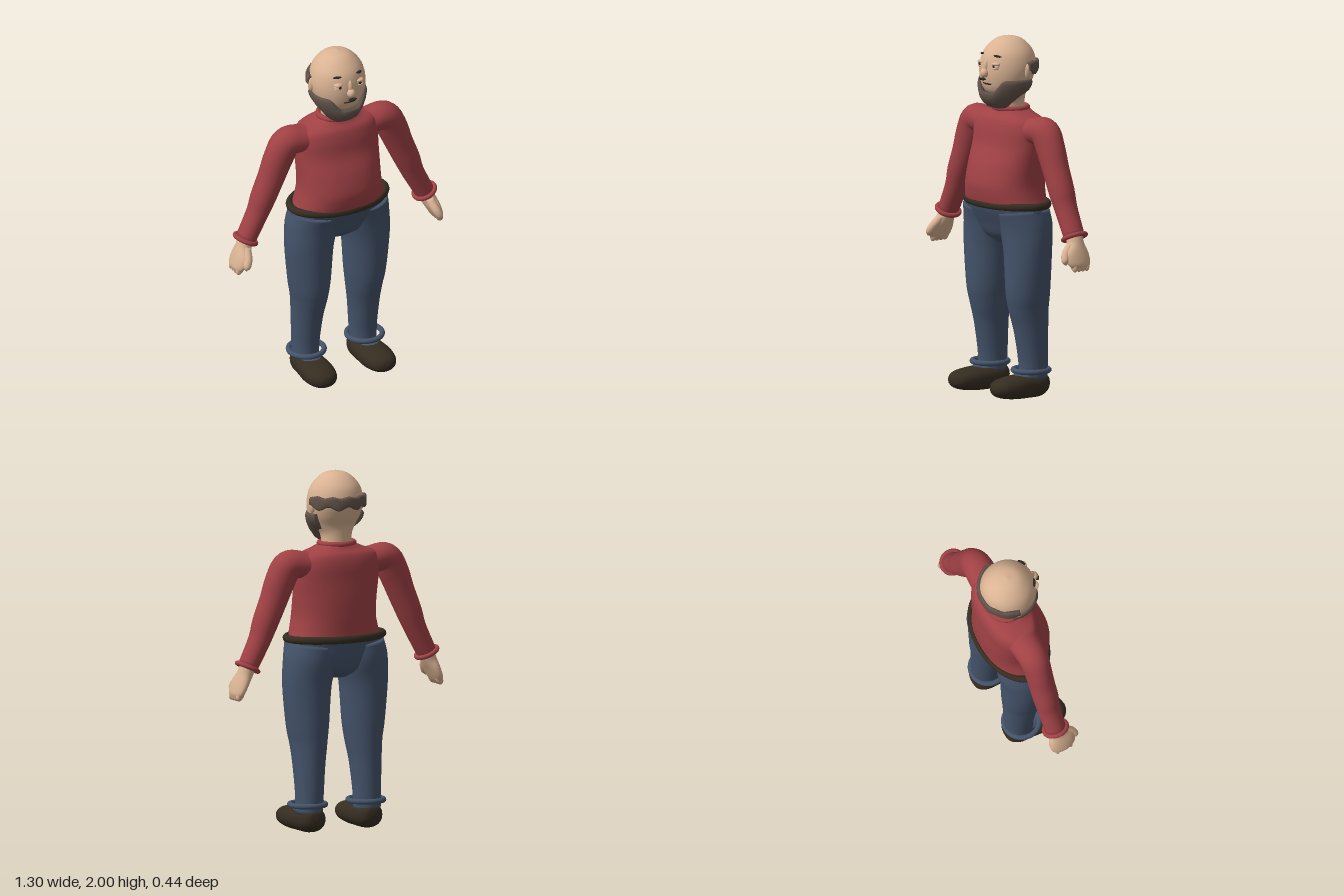
import * as THREE from 'three';

const mat = (name, color, side = THREE.FrontSide) => {
  const m = new THREE.MeshStandardMaterial({ color, side });
  m.name = name;
  return m;
};

// Closed smooth surface through a list of equal rings, with both ends capped
function skin(rings) {
  const n = rings[0].length, last = rings.length - 1;
  const pts = rings.flat(), idx = [];
  for (let i = 0; i < last; i++) for (let j = 0; j < n; j++) {
    const a = i * n + j, c = i * n + (j + 1) % n;
    idx.push(a, a + n, c, a + n, c + n, c);
  }
  const middle = r => r.reduce((s, p) => s.add(p), new THREE.Vector3()).divideScalar(n);
  const first = pts.length;
  pts.push(middle(rings[0]), middle(rings[last]));
  for (let j = 0; j < n; j++) {
    const k = (j + 1) % n;
    idx.push(first, j, k, first + 1, last * n + k, last * n + j);
  }
  const g = new THREE.BufferGeometry().setFromPoints(pts);
  g.setIndex(idx);
  g.computeVertexNormals();
  return g;
}

// Rounded limb through rows of [x, y, z, side radius, depth radius]
function loft(rows, s = 1, power = 1, n = 36) {
  const path = new THREE.CatmullRomCurve3(rows.map(r => new THREE.Vector3(r[0] * s, r[1], r[2])), false, 'catmullrom');
  const size = new THREE.CatmullRomCurve3(rows.map(r => new THREE.Vector3(r[3], r[4], 0)), false, 'catmullrom');
  const steps = (rows.length - 1) * 6, rings = [];
  const bend = (v) => Math.sign(v) * Math.pow(Math.abs(v), power);
  for (let i = 0; i <= steps; i++) {
    const t = i / steps, p = path.getPoint(t), r = size.getPoint(t);
    const d = path.getTangent(t).setZ(0).normalize();
    const ring = [];
    for (let j = 0; j < n; j++) {
      const a = j / n * Math.PI * 2;
      const u = bend(Math.cos(a)) * Math.max(r.x, 0.001), w = bend(Math.sin(a)) * Math.max(r.y, 0.001);
      ring.push(new THREE.Vector3(p.x + d.y * u, p.y - d.x * u, p.z + w));
    }
    rings.push(ring);
  }
  return skin(rings);
}

// Band around the head; profile(angle) gives [radius factor, y], angle 0 faces front
function headBand(from, to, steps, profile) {
  const rings = [];
  for (let i = 0; i <= steps; i++) {
    const a = from + (to - from) * i / steps;
    rings.push(profile(a).map(([f, y]) =>
      new THREE.Vector3(Math.sin(a) * 0.16 * f, y, -0.022 + Math.cos(a) * 0.16 * f)));
  }
  return skin(rings);
}

export function createModel() {
  const root = new THREE.Group();
  root.name = 'standingMan';
  const M = {
    skin: mat('skin', 0xdab393),
    red: mat('red sweater', 0xa04145),
    blue: mat('blue trousers', 0x44536a),
    leather: mat('dark leather', 0x362d21),
    hair: mat('brown hair', 0x62534a, THREE.DoubleSide),
    dark: mat('dark features', 0x2b2522),
    white: mat('eye white', 0xded2c2),
  };
  const add = (name, geo, material, x = 0, y = 0, z = 0) => {
    const m = new THREE.Mesh(geo, material);
    m.name = name;
    m.position.set(x, y, z);
    root.add(m);
    return m;
  };
  const ball = (name, material, x, y, z, rx, ry, rz) => {
    const m = add(name, new THREE.SphereGeometry(1, 24, 16), material, x, y, z);
    m.scale.set(rx, ry, rz);
    return m;
  };
  // Horizontal elliptical ring of cloth or leather
  const hoop = (name, material, x, y, z, rx, rz, thick) => {
    const g = new THREE.TorusGeometry(rx, thick, 12, 48).rotateX(Math.PI / 2);
    const m = add(name, g, material, x, y, z);
    m.scale.z = rz / rx;
    return m;
  };

  // Sweater body with a round belly
  add('torso', loft([
    [0, 1.07, -0.015, 0.268, 0.178], [0, 1.13, -0.008, 0.25, 0.186], [0, 1.2, -0.007, 0.237, 0.19],
    [0, 1.3, -0.02, 0.238, 0.178], [0, 1.4, -0.038, 0.245, 0.156], [0, 1.49, -0.045, 0.248, 0.146],
    [0, 1.545, -0.047, 0.225, 0.13], [0, 1.575, -0.047, 0.15, 0.105], [0, 1.6, -0.045, 0.095, 0.09],
  ], 1, 0.88, 48), M.red);
  hoop('collar', M.red, 0, 1.6, -0.045, 0.097, 0.09, 0.015);
  hoop('belt', M.leather, 0, 1.08, -0.02, 0.286, 0.181, 0.021);

  // Trouser seat
  add('hips', loft([
    [0, 0.855, -0.03, 0.06, 0.06], [0, 0.9, -0.03, 0.2, 0.115], [0, 0.97, -0.025, 0.285, 0.142],
    [0, 1.04, -0.014, 0.293, 0.163], [0, 1.085, -0.012, 0.283, 0.175],
  ]), M.blue);

  for (const s of [1, -1]) {
    const side = s > 0 ? 'left' : 'right';
    // Leg, cuff and shoe
    add(side + 'Leg', loft([
      [0.15, 1.04, -0.015, 0.14, 0.15], [0.161, 0.95, -0.028, 0.148, 0.143], [0.176, 0.82, -0.026, 0.138, 0.131],
      [0.174, 0.6, -0.028, 0.117, 0.127], [0.172, 0.5, -0.034, 0.102, 0.117], [0.176, 0.38, -0.048, 0.088, 0.1],
      [0.179, 0.22, -0.06, 0.077, 0.086], [0.181, 0.11, -0.06, 0.074, 0.082],
    ], s), M.blue);
    hoop(side + 'TrouserCuff', M.blue, 0.182 * s, 0.158, -0.045, 0.098, 0.098, 0.015);
    ball(side + 'Instep', M.blue, 0.182 * s, 0.12, 0, 0.06, 0.032, 0.085);
    const shoe = loft([
      [0.178, -0.152, -0.085, 0.004, 0.006], [0.178, -0.14, -0.082, 0.05, 0.045], [0.178, -0.09, -0.077, 0.079, 0.069],
      [0.18, 0, -0.074, 0.086, 0.068], [0.184, 0.09, -0.073, 0.092, 0.064], [0.186, 0.17, -0.073, 0.077, 0.052],
      [0.187, 0.21, -0.073, 0.045, 0.032], [0.187, 0.223, -0.073, 0.004, 0.004],
    ], s, 0.9).rotateX(Math.PI / 2);
    add(side + 'Shoe', shoe, M.leather);

    // Sleeve and cuff
    add(side + 'Arm', loft([
      [0.1, 1.485, -0.047, 0.07, 0.085], [0.21, 1.492, -0.047, 0.074, 0.088], [0.305, 1.492, -0.046, 0.083, 0.083],
      [0.355, 1.41, -0.046, 0.086, 0.076], [0.4, 1.3, -0.047, 0.078, 0.072], [0.45, 1.185, -0.048, 0.072, 0.071],
      [0.488, 1.09, -0.05, 0.062, 0.064], [0.562, 0.945, -0.05, 0.055, 0.06],
    ], s), M.red);
    const cuff = hoop(side + 'SleeveCuff', M.red, 0.56 * s, 0.948, -0.05, 0.061, 0.064, 0.013);
    cuff.rotation.z = 0.45 * s;

    // Mitten-like hand with thumb and knuckles
    add(side + 'Palm', loft([
      [0.555, 0.96, -0.05, 0.044, 0.046], [0.575, 0.91, -0.045, 0.042, 0.052], [0.597, 0.865, -0.035, 0.038, 0.075],
      [0.615, 0.825, -0.035, 0.033, 0.077], [0.628, 0.795, -0.038, 0.026, 0.062], [0.637, 0.775, -0.04, 0.008, 0.03],
    ], s), M.skin);
    add(side + 'Thumb', loft([
      [0.57, 0.92, -0.015, 0.022, 0.025], [0.585, 0.87, 0.025, 0.024, 0.03],
      [0.603, 0.83, 0.045, 0.021, 0.023], [0.612, 0.808, 0.048, 0.005, 0.006],
    ], s, 1, 16), M.skin);
    for (let i = 0; i < 4; i++) {
      const f = ball(side + 'Finger', M.skin, 0.622 * s, 0.8, 0.002 - i * 0.027, 0.022, 0.036, 0.017);
      f.rotation.z = 0.45 * s;
    }

    // Face details
    ball(side + 'Ear', M.skin, 0.153 * s, 1.815, -0.045, 0.016, 0.042, 0.022);
    ball(side + 'Eye', M.white, 0.064 * s, 1.848, 0.106, 0.024, 0.016, 0.019);
    ball(side + 'UpperLid', M.skin, 0.064 * s, 1.86, 0.106, 0.027, 0.011, 0.022);
    ball(side + 'LowerLid', M.skin, 0.064 * s, 1.836, 0.107, 0.024, 0.007, 0.02);
    ball(side + 'Pupil', M.dark, 0.062 * s, 1.848, 0.123, 0.009, 0.009, 0.004);
    const brow = ball(side + 'Brow', M.dark, 0.068 * s, 1.903, 0.1, 0.024, 0.006, 0.01);
    brow.rotation.set(0, 0.5 * s, -0.12 * s);
  }

  // Neck and bald head
  add('head', loft([
    [0, 1.58, -0.045, 0.085, 0.072], [0, 1.65, -0.035, 0.09, 0.083], [0, 1.7, -0.01, 0.122, 0.115],
    [0, 1.76, -0.015, 0.147, 0.142], [0, 1.83, -0.025, 0.156, 0.156], [0, 1.9, -0.028, 0.141, 0.144],
    [0, 1.95, -0.03, 0.108, 0.11], [0, 1.985, -0.03, 0.062, 0.064], [0, 2.0, -0.03, 0.002, 0.002],
  ], 1, 1, 48), M.skin);
  ball('nose', M.skin, 0, 1.805, 0.137, 0.024, 0.026, 0.024);
  ball('noseBridge', M.skin, 0, 1.835, 0.12, 0.016, 0.045, 0.022);
  ball('moustache', M.dark, 0, 1.774, 0.152, 0.025, 0.007, 0.015);
  ball('mouth', M.dark, 0, 1.745, 0.119, 0.038, 0.006, 0.008);

  // Full beard along the jaw, low under the mouth and high at the cheeks
  add('beard', headBand(-1.92, 1.92, 48, a => {
    const t = THREE.MathUtils.smoothstep(Math.abs(a), 0.3, 0.85);
    const top = 1.7 + 0.07 * t;
    const low = 1.6 + 0.075 * THREE.MathUtils.smoothstep(Math.abs(a), 0.6, 1.92);
    const y = v => low + (top - low) * v;
    return [[0.48, y(0)], [0.7, y(0.1)], [0.88, y(0.35)], [0.98, y(0.6)], [1.02, y(0.85)], [0.98, y(1)],
      [0.84, y(0.98)], [0.72, y(0.5)], [0.4, y(0.1)]];
  }), M.hair);

  // Fringe of hair around the back, with a wavy lower edge
  add('hairFringe', headBand(1.7, Math.PI * 2 - 1.7, 60, a => {
    const b = Math.abs(a - Math.PI);
    const low = 1.803 + 0.01 * Math.cos(b * 9), top = 1.867 + 0.004 * Math.cos(b * 11);
    return [[1.04, low], [1.09, low + 0.012], [1.09, top - 0.012], [1.04, top], [0.88, top], [0.88, low]];
  }), M.hair);

  return root;
}
